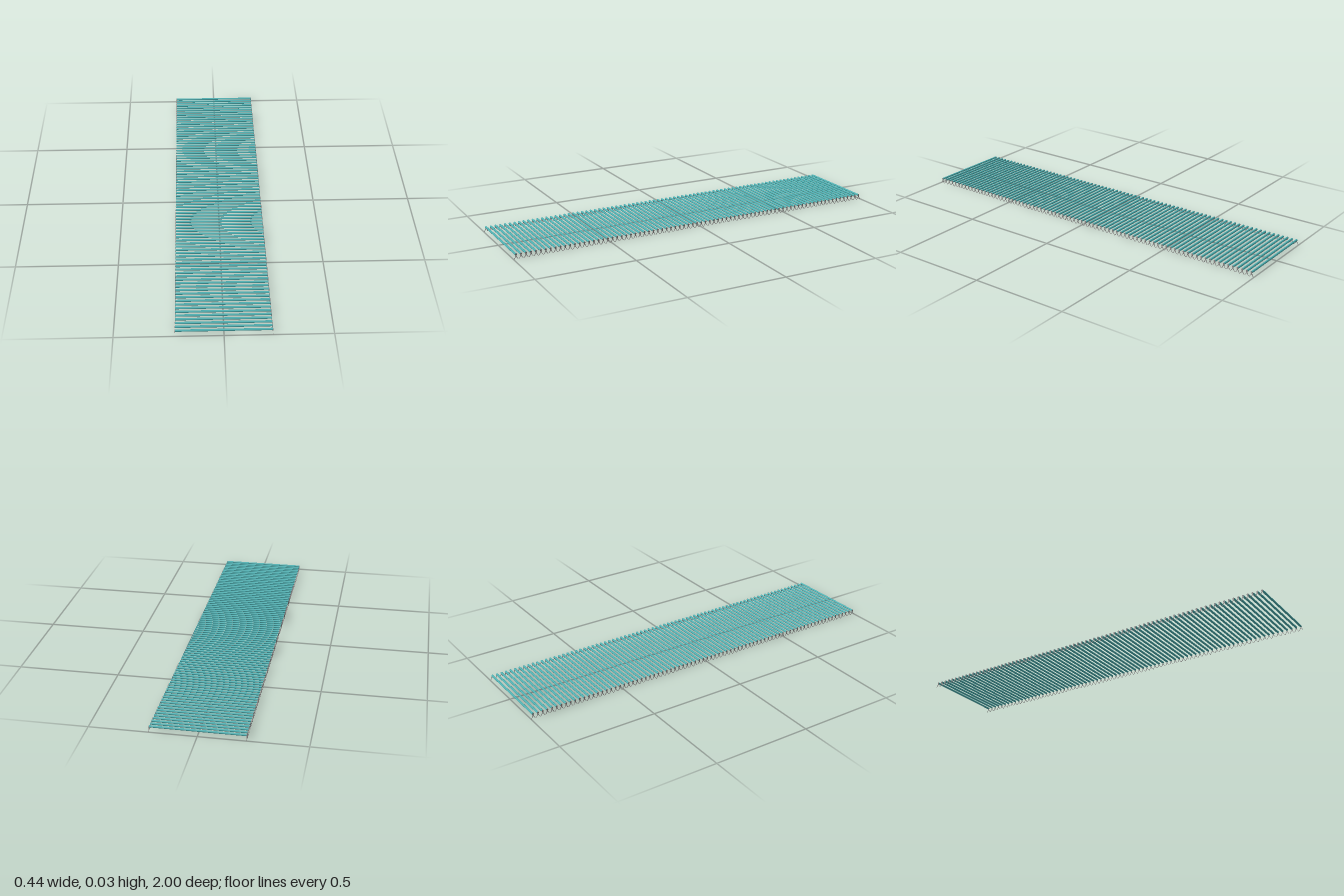
import * as THREE from 'three';

const COUNT = 81;            // rollers along the bed
const PITCH = 2 / COUNT;
const RADIUS = 0.0052;
const AXIS_Y = 0.0236;
const HALF_WIDTH = 0.222;
const PLATE = 0.0015;        // bracket thickness

export function createModel() {
  const group = new THREE.Group();
  group.name = 'rollerBed';
  const teal = new THREE.MeshStandardMaterial({ color: 0x4cb0b2 });
  const grey = new THREE.MeshStandardMaterial({ color: 0x8a8686 });

  // roller lying across the bed
  const rollerGeo = new THREE.CylinderGeometry(RADIUS, RADIUS, 2 * (HALF_WIDTH - PLATE), 16);
  rollerGeo.rotateZ(Math.PI / 2);

  // bracket outline: round head on the axle, two slim legs curving apart to the ground
  const foot = PITCH / 2;
  const shape = new THREE.Shape();
  shape.moveTo(-foot, 0);
  shape.lineTo(-foot + 0.0016, 0);
  shape.quadraticCurveTo(-0.0035, 0.006, 0, 0.0165);
  shape.quadraticCurveTo(0.0035, 0.006, foot - 0.0016, 0);
  shape.lineTo(foot, 0);
  shape.quadraticCurveTo(0.0045, 0.008, 0.0025, AXIS_Y - 0.004);
  shape.absarc(0, AXIS_Y, 0.0047, -1, Math.PI + 1, false);
  shape.quadraticCurveTo(-0.0045, 0.008, -foot, 0);
  const bracketGeo = new THREE.ExtrudeGeometry(shape, { depth: PLATE, bevelEnabled: false, curveSegments: 8 });
  bracketGeo.translate(0, 0, -PLATE / 2);
  bracketGeo.rotateY(Math.PI / 2);

  for (let i = 0; i < COUNT; i++) {
    const z = -1 + PITCH * (i + 0.5);
    const roller = new THREE.Mesh(rollerGeo, teal);
    roller.name = 'roller';
    roller.position.set(0, AXIS_Y, z);
    group.add(roller);

    // one bracket at each end
    for (const side of [-1, 1]) {
      const bracket = new THREE.Mesh(bracketGeo, grey);
      bracket.name = side > 0 ? 'leftBracket' : 'rightBracket';
      bracket.position.set(side * (HALF_WIDTH - PLATE / 2), 0, z);
      group.add(bracket);
    }
  }
  return group;
}
